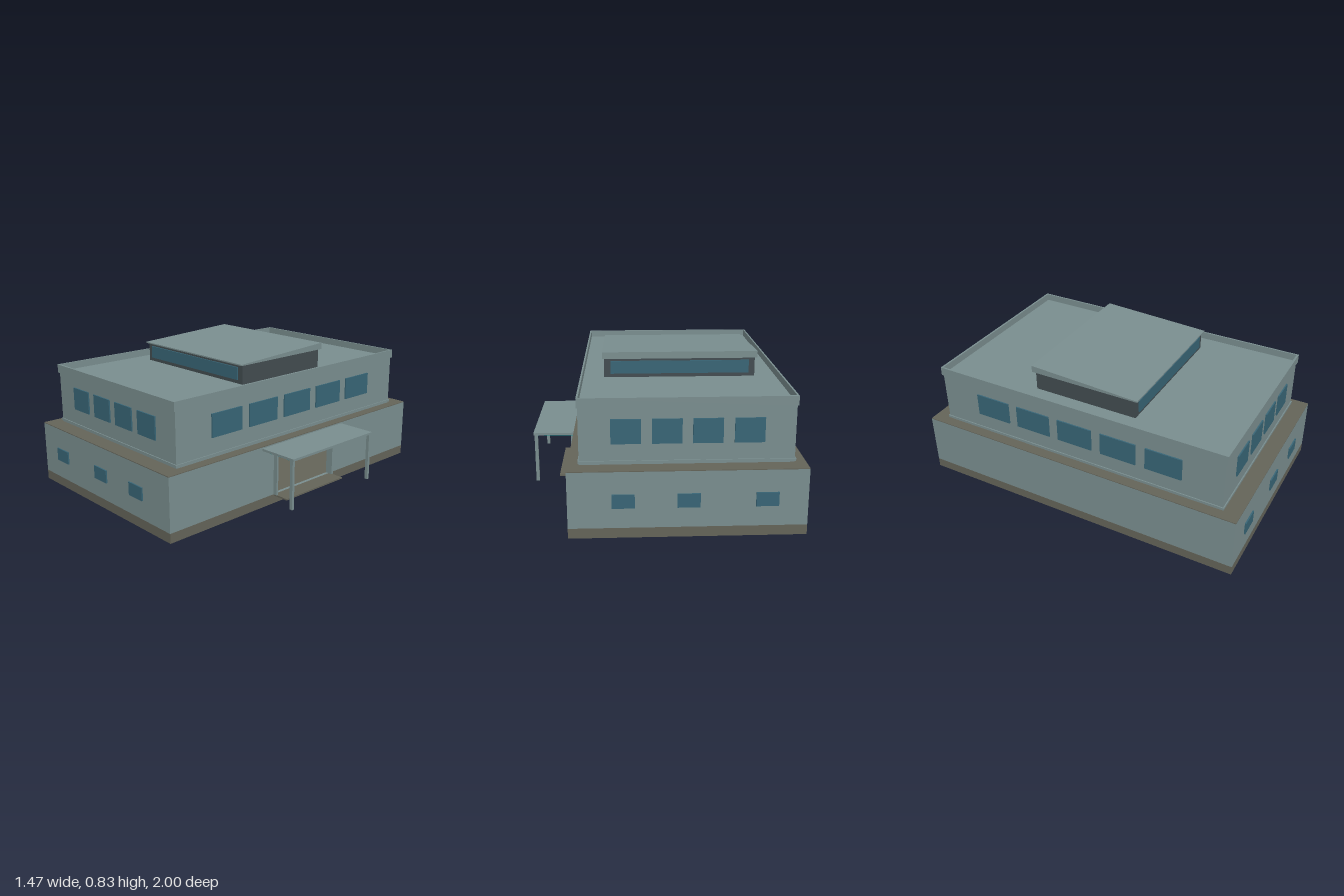
import * as THREE from 'three';

const mat = (name, color) => {
  const m = new THREE.MeshStandardMaterial({ color });
  m.name = name;
  return m;
};

export function createModel() {
  const wall = mat('wall grey', 0x7a8e8f);
  const olive = mat('olive concrete', 0x646459);
  const glass = mat('window blue', 0x386576);
  const dark = mat('dark cladding', 0x424c50);
  const teal = mat('canopy teal', 0x26908f);

  const model = new THREE.Group();
  model.name = 'building';

  const add = (name, geometry, material) => {
    const mesh = new THREE.Mesh(geometry, material);
    mesh.name = name;
    model.add(mesh);
    return mesh;
  };
  // box given by its limits on each axis
  const box = (name, material, [x0, x1], [y0, y1], [z0, z1]) =>
    add(name, new THREE.BoxGeometry(x1 - x0, y1 - y0, z1 - z0), material)
      .position.set((x0 + x1) / 2, (y0 + y1) / 2, (z0 + z1) / 2);
  const rect = (Type, a0, a1, b0, b1) => {
    const p = new Type();
    p.moveTo(a0, b0).lineTo(a1, b0).lineTo(a1, b1).lineTo(a0, b1).closePath();
    return p;
  };

  // ground floor: hollow, with an open entrance in the +x wall
  const X0 = -0.735, X1 = 0.5, Z = 0.99, T = 0.02;
  box('plinth', olive, [X0, X1], [0, 0.055], [-Z, Z]);
  box('groundWallFront', wall, [X0, X1], [0.055, 0.361], [Z - T, Z]);
  box('groundWallBack', wall, [X0, X1], [0.055, 0.361], [-Z, -Z + T]);
  box('groundWallSide', wall, [X0, X0 + T], [0.055, 0.361], [-Z + T, Z - T]);
  const entry = rect(THREE.Shape, -Z + T, Z - T, 0.055, 0.361);
  entry.holes.push(rect(THREE.Path, -0.24, 0.24, 0.055001, 0.325));
  const entryGeo = new THREE.ExtrudeGeometry(entry, { depth: T, bevelEnabled: false });
  entryGeo.rotateY(Math.PI / 2).translate(X1 - T, 0, 0);
  add('entranceWall', entryGeo, wall);
  box('ledge', olive, [X0, X1], [0.361, 0.365], [-Z, Z]);

  // upper floor with a base band and a parapet around the roof deck
  const U0 = -0.675, U1 = 0.44, UZ = 0.893;
  box('upperFloor', wall, [U0, U1], [0.365, 0.68], [-UZ, UZ]);
  box('baseBand', wall, [U0 - 0.006, U1 + 0.006], [0.372, 0.386], [-UZ - 0.006, UZ + 0.006]);
  const rim = rect(THREE.Shape, U0 - 0.006, U1 + 0.006, -0.902, 0.902);
  rim.holes.push(rect(THREE.Path, U0 + 0.004, U1 - 0.004, -0.89, 0.89));
  const rimGeo = new THREE.ExtrudeGeometry(rim, { depth: 0.051, bevelEnabled: false });
  rimGeo.rotateX(-Math.PI / 2).translate(0, 0.671, 0);
  add('parapet', rimGeo, wall);

  // windows on the front and back
  for (const s of [1, -1]) {
    const face = (z) => (s > 0 ? [z, z + 0.008] : [-z - 0.008, -z]);
    for (const x of [-0.437, -0.223, -0.013, 0.198])
      box('upperWindow', glass, [x - 0.078, x + 0.078], [0.477, 0.609], face(UZ));
    for (const x of [-0.523, -0.12, 0.215])
      box('groundWindow', glass, [x - 0.059, x + 0.059], [0.165, 0.24], face(Z));
    box('penthouseWindow', glass, [-0.515, 0.28], [0.702, 0.775], face(0.316));
  }
  // windows on the two long sides
  for (let i = 0; i < 5; i++) {
    const z = 0.547 - i * 0.2725;
    for (const xs of [[U1, U1 + 0.008], [U0 - 0.008, U0]])
      box('sideWindow', glass, xs, [0.477, 0.609], [z - 0.108, z + 0.108]);
  }

  // penthouse with a wedge-shaped roof, thin at the front
  box('penthouse', dark, [-0.55, 0.317], [0.68, 0.792], [-0.316, 0.316]);
  const wedge = new THREE.Shape([
    [-0.332, 0.791], [0.335, 0.791], [0.335, 0.83], [-0.332, 0.798],
  ].map(([a, b]) => new THREE.Vector2(a, b)));
  const wedgeGeo = new THREE.ExtrudeGeometry(wedge, { depth: 0.888, bevelEnabled: false });
  wedgeGeo.rotateY(Math.PI / 2).translate(-0.562, 0, 0);
  add('penthouseRoof', wedgeGeo, wall);

  // entrance: frame, step, canopy and posts
  for (const s of [1, -1]) {
    box('entranceJamb', wall, [0.48, 0.525], [0.055, 0.328], [s * 0.24 - 0.006, s * 0.24 + 0.006]);
    box('canopyPost', wall, [0.71, 0.729], [0.058, 0.343], [s * 0.328 - 0.008, s * 0.328 + 0.008]);
  }
  box('entranceHeader', wall, [0.48, 0.525], [0.318, 0.328], [-0.246, 0.246]);
  box('entranceStep', olive, [0.5, 0.6], [0.046, 0.055], [-0.242, 0.242]);
  box('canopy', wall, [0.5, 0.735], [0.341, 0.354], [-0.338, 0.338]);
  box('canopySoffit', teal, [0.5, 0.71], [0.334, 0.341], [-0.325, 0.325]);

  return model;
}
